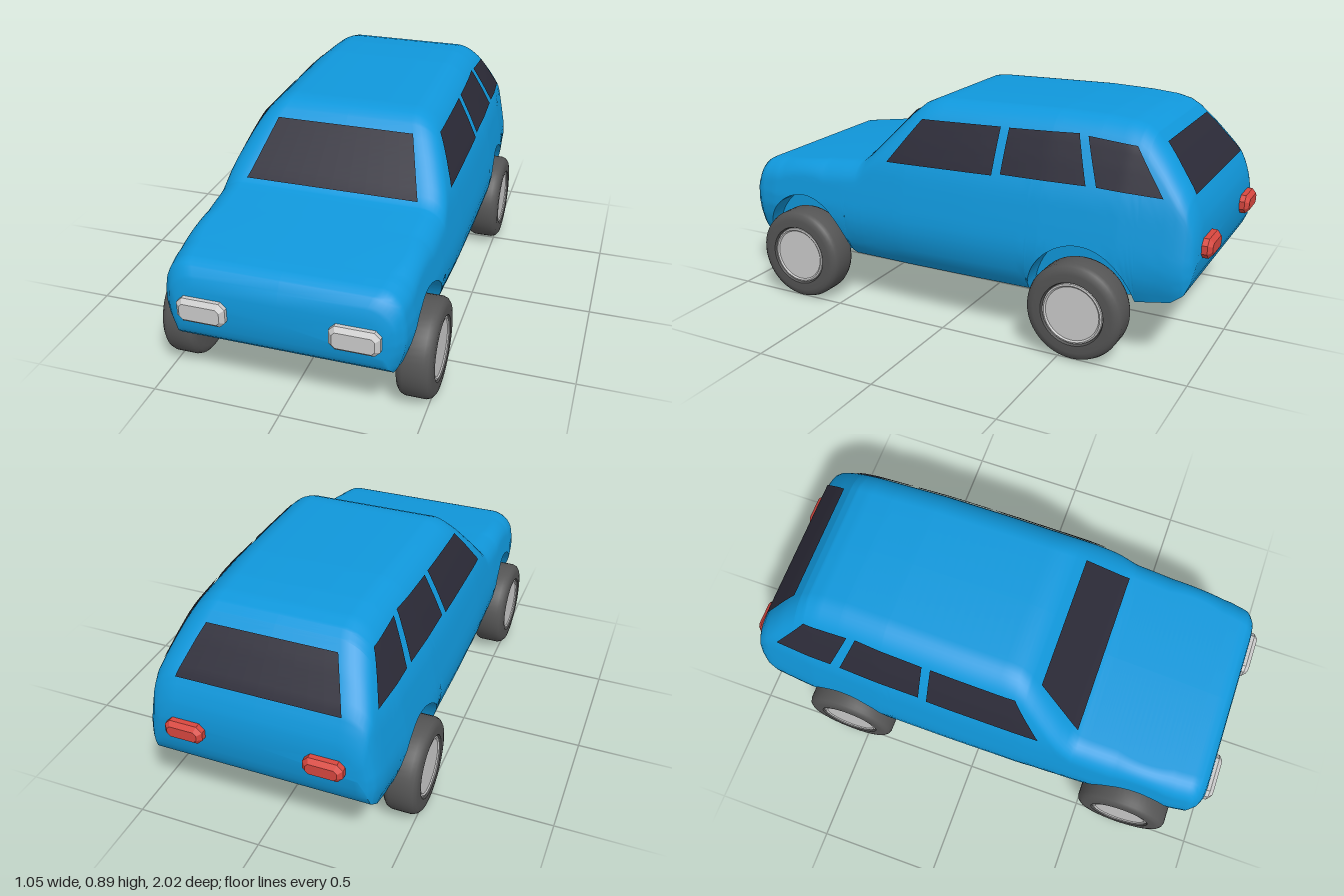
import * as THREE from 'three';
import { toCreasedNormals } from 'three/addons/utils/BufferGeometryUtils.js';

const paint = new THREE.MeshStandardMaterial({ color: 0x1098dc });
const glass = new THREE.MeshStandardMaterial({ color: 0x2c2b38, side: THREE.DoubleSide });
const rubber = new THREE.MeshStandardMaterial({ color: 0x555555 });
const grey = new THREE.MeshStandardMaterial({ color: 0xcccccc });
const red = new THREE.MeshStandardMaterial({ color: 0xd8473f });

const AXLES = [0.685, -0.56];

// Piecewise linear curve through [position, value] pairs in rising order
function curve(pts) {
  return (t) => {
    if (t <= pts[0][0]) return pts[0][1];
    for (let i = 1; i < pts.length; i++) {
      const [a, va] = pts[i - 1], [b, vb] = pts[i];
      if (t <= b) return va + ((vb - va) * (t - a)) / (b - a);
    }
    return pts[pts.length - 1][1];
  };
}

// Upper outline along z: tailgate, roof, windscreen, bonnet, nose
const TOP = [[-0.977, 0.5], [-0.97, 0.55], [-0.955, 0.6], [-0.93, 0.655], [-0.84, 0.765], [-0.77, 0.84],
  [-0.735, 0.862], [-0.68, 0.876], [-0.58, 0.884], [-0.4, 0.888], [0.1, 0.877], [0.145, 0.87], [0.185, 0.852],
  [0.23, 0.812], [0.385, 0.642], [0.42, 0.612], [0.45, 0.606], [0.86, 0.56], [0.91, 0.552], [0.945, 0.535],
  [0.968, 0.5], [0.977, 0.45]];
const BOTTOM = [[-0.977, 0.42], [-0.965, 0.35], [-0.945, 0.305], [-0.9, 0.272], [-0.77, 0.25],
  [-0.36, 0.215], [0.48, 0.2], [0.88, 0.22], [0.93, 0.235], [0.962, 0.265], [0.977, 0.31]];
const topY = curve(TOP);
const bottomY = curve(BOTTOM);
// Half width by height, and how far the sides draw in towards the ends
const width = curve([[0.2, 0.41], [0.225, 0.44], [0.26, 0.463], [0.32, 0.482], [0.37, 0.489], [0.42, 0.487],
  [0.5, 0.473], [0.6, 0.453], [0.65, 0.436], [0.73, 0.4], [0.815, 0.358], [0.89, 0.32]]);
const inset = curve([[-0.977, 0.1], [-0.965, 0.07], [-0.94, 0.05], [-0.9, 0.036], [-0.7, 0.015], [-0.4, 0.002],
  [-0.1, 0], [0.2, 0.002], [0.5, 0.012], [0.85, 0.03], [0.93, 0.042], [0.963, 0.07], [0.977, 0.1]]);

// Lower edge of the side panels, lifted over the wheels
function sillY(z) {
  let y = bottomY(z);
  for (const c of AXLES) {
    const d = (z - c) / 0.215;
    if (Math.abs(d) < 1) y = Math.max(y, 0.195 + 0.245 * Math.sqrt(1 - d * d));
  }
  return y;
}
const cornerR = (z) => Math.min(0.08, 0.45 * (topY(z) - sillY(z)));

// Outer half width of the shell at height y and station z
function shellX(y, z) {
  const r = cornerR(z), rise = Math.min(r, Math.max(0, y - (topY(z) - r)));
  return width(y) - inset(z) - (r - Math.sqrt(r * r - rise * rise));
}

// Closed cross-section: floor, wheel well, side, shoulder, roof, then mirrored
function section(z) {
  const yt = topY(z), yb = bottomY(z), ys = sillY(z), r = cornerR(z);
  const well = Math.min(0.375, shellX(ys, z) - 0.015);
  const half = [[0, yb], [well, yb], [well, ys]];
  for (let i = 0; i <= 14; i++) {
    const y = ys + ((yt - r - ys) * i) / 14;
    half.push([shellX(y, z), y]);
  }
  for (let i = 1; i <= 8; i++) {
    const y = yt - r + r * Math.sin((i * Math.PI) / 16);
    half.push([shellX(y, z), y]);
  }
  half.push([0, yt]);
  const mirror = half.slice(1, -1).reverse().map(([x, y]) => [-x, y]);
  return [...half, ...mirror].map(([x, y]) => [x, y, z]);
}

function bodyGeometry() {
  // Stations: even steps, outline corners, and close steps around the arches
  let zs = [...TOP, ...BOTTOM].map((p) => p[0]);
  for (let i = 1; i < 50; i++) zs.push(-0.977 + (1.954 * i) / 50);
  for (const c of AXLES) {
    for (let i = 0; i <= 32; i++) zs.push(c - 0.215 * Math.cos((i * Math.PI) / 32));
  }
  zs.sort((a, b) => a - b);
  zs = zs.filter((z, i) => i === 0 || z - zs[i - 1] > 0.0008);

  const rings = zs.map(section), n = rings[0].length, last = rings.length - 1;
  const index = [];
  for (let i = 0; i < last; i++) {
    for (let j = 0; j < n; j++) {
      const k = (j + 1) % n, a = i * n + j, b = i * n + k;
      index.push(a, b, b + n, a, b + n, a + n);
    }
  }
  // End faces
  const pos = rings.flat(2), centre = rings.length * n;
  pos.push(0, 0.46, zs[0], 0, 0.38, zs[last]);
  for (let j = 0; j < n; j++) {
    const k = (j + 1) % n;
    index.push(centre, k, j, centre + 1, last * n + j, last * n + k);
  }
  const geo = new THREE.BufferGeometry();
  geo.setAttribute('position', new THREE.Float32BufferAttribute(pos, 3));
  geo.setIndex(index);
  return toCreasedNormals(geo, 0.75);
}

// Window pane: four 2D corners, subdivided and laid on the shell by place(p, q)
function pane(corners, place) {
  const geo = new THREE.PlaneGeometry(1, 1, 10, 10), pos = geo.attributes.position;
  const [a, b, c, d] = corners.map((p) => new THREE.Vector2(...p));
  for (let i = 0; i < pos.count; i++) {
    const u = pos.getX(i) + 0.5, v = pos.getY(i) + 0.5;
    const p = a.clone().lerp(b, u).lerp(d.clone().lerp(c, u), v);
    pos.setXYZ(i, ...place(p.x, p.y));
  }
  geo.computeVertexNormals();
  return geo;
}

// Chamfered lamp block, front face towards +z
function lampGeometry(w, h, depth) {
  const bevel = 0.016, c = 0.012, x = w / 2 - bevel, y = h / 2 - bevel;
  const shape = new THREE.Shape([[x - c, -y], [x, c - y], [x, y - c], [x - c, y],
    [c - x, y], [-x, y - c], [-x, c - y], [c - x, -y]].map((p) => new THREE.Vector2(...p)));
  return new THREE.ExtrudeGeometry(shape, {
    depth: depth - bevel, bevelEnabled: true, bevelSize: bevel, bevelThickness: bevel, bevelSegments: 1,
  }).translate(0, 0, bevel - depth);
}

// Lathe around the x axis from [radius, x] pairs
function turned(pts) {
  const geo = new THREE.LatheGeometry(pts.map((p) => new THREE.Vector2(...p)), 48);
  return toCreasedNormals(geo.rotateZ(-Math.PI / 2), 0.6);
}

export function createModel() {
  const car = new THREE.Group();
  car.name = 'car';
  const add = (name, geo, mat, parent = car) => {
    const mesh = new THREE.Mesh(geo, mat);
    mesh.name = name;
    parent.add(mesh);
    return mesh;
  };

  add('body', bodyGeometry(), paint);

  // Windscreen and rear window follow the upper outline
  const onTop = (x, z) => [x, topY(z) + 0.005, z + Math.sign(z) * 0.004];
  add('windscreen', pane([[-0.345, 0.408], [0.345, 0.408], [0.275, 0.227], [-0.275, 0.227]], onTop), glass);
  add('rearWindow', pane([[0.315, -0.935], [-0.315, -0.935], [-0.25, -0.802], [0.25, -0.802]], onTop), glass);

  // Side windows as [z, y] corners
  const sideWindows = {
    FrontWindow: [[0.278, 0.634], [-0.19, 0.645], [-0.19, 0.815], [0.155, 0.805]],
    MiddleWindow: [[-0.225, 0.653], [-0.565, 0.655], [-0.505, 0.825], [-0.225, 0.815]],
    QuarterWindow: [[-0.605, 0.655], [-0.85, 0.645], [-0.727, 0.805], [-0.54, 0.82]],
  };
  for (const [side, s] of [['left', 1], ['right', -1]]) {
    for (const [name, corners] of Object.entries(sideWindows)) {
      add(side + name, pane(corners, (z, y) => [s * (shellX(y, z) + 0.005), y + 0.002, z]), glass);
    }
    add(side + 'Headlight', lampGeometry(0.185, 0.095, 0.06), grey).position.set(s * 0.283, 0.383, 0.993);
    const tail = add(side + 'TailLight', lampGeometry(0.15, 0.075, 0.06), red);
    tail.position.set(s * 0.268, 0.457, -0.998);
    tail.rotation.y = Math.PI;
  }

  // Wheels: tyre with rounded shoulders and a shallow recessed hub
  const tyre = turned([[0, -0.067], [0.155, -0.067], [0.172, -0.064], [0.184, -0.054], [0.19, -0.038],
    [0.19, 0.038], [0.184, 0.054], [0.172, 0.064], [0.155, 0.067], [0.125, 0.067], [0.12, 0.055], [0, 0.055]]);
  const hub = turned([[0.12, 0.05], [0.118, 0.062], [0.112, 0.064], [0.106, 0.059], [0, 0.059]]);
  AXLES.forEach((z, i) => {
    for (const [side, s] of [['Left', 1], ['Right', -1]]) {
      const wheel = new THREE.Group();
      wheel.name = (i ? 'rear' : 'front') + side + 'Wheel';
      add('tyre', tyre, rubber, wheel);
      add('hub', hub, grey, wheel);
      wheel.position.set(s * 0.456, 0.19, z);
      wheel.rotation.y = s > 0 ? 0 : Math.PI;
      car.add(wheel);
    }
  });
  return car;
}
